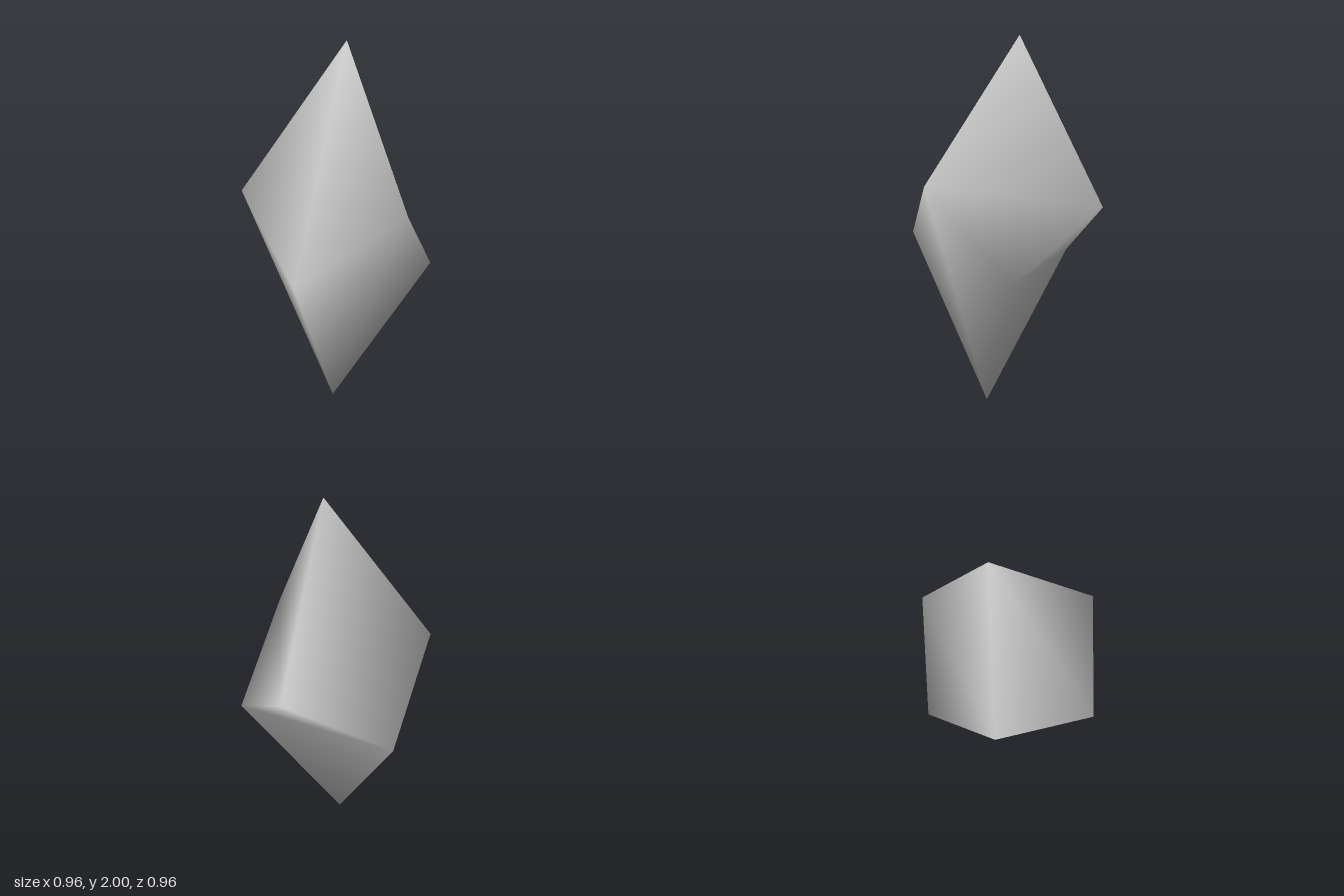
import * as THREE from 'three';

export function createModel() {
  const group = new THREE.Group();
  group.name = 'crystal';

  const stone = new THREE.MeshStandardMaterial({ color: 0xcccccc });
  stone.name = 'pale grey stone';

  // Two leaning tips and a zigzag belt of six corners
  const corners = [
    [0.067, 2, -0.067],    // 0 top tip
    [-0.067, 0, 0.067],    // 1 bottom tip
    [0.387, 1.14, -0.387], // 2 belt, counter-clockwise from above
    [-0.16, 0.81, -0.48],  // 3
    [-0.48, 1.26, -0.16],  // 4
    [-0.387, 0.94, 0.387], // 5
    [0.16, 1.26, 0.48],    // 6
    [0.48, 0.81, 0.16],    // 7
  ];
  const faces = [
    // upper facets
    [0, 4, 5], [0, 5, 6], [0, 6, 2], [6, 7, 2], [0, 2, 4], [2, 3, 4],
    // lower facets
    [1, 6, 5], [1, 7, 6], [1, 5, 4], [1, 4, 3], [1, 3, 7], [3, 2, 7],
  ];

  // Shared corners give soft shading across the facets
  const geometry = new THREE.BufferGeometry();
  geometry.setAttribute('position', new THREE.Float32BufferAttribute(corners.flat(), 3));
  geometry.setIndex(faces.flat());
  geometry.computeVertexNormals();

  const gem = new THREE.Mesh(geometry, stone);
  gem.name = 'crystalBody';
  group.add(gem);
  return group;
}
